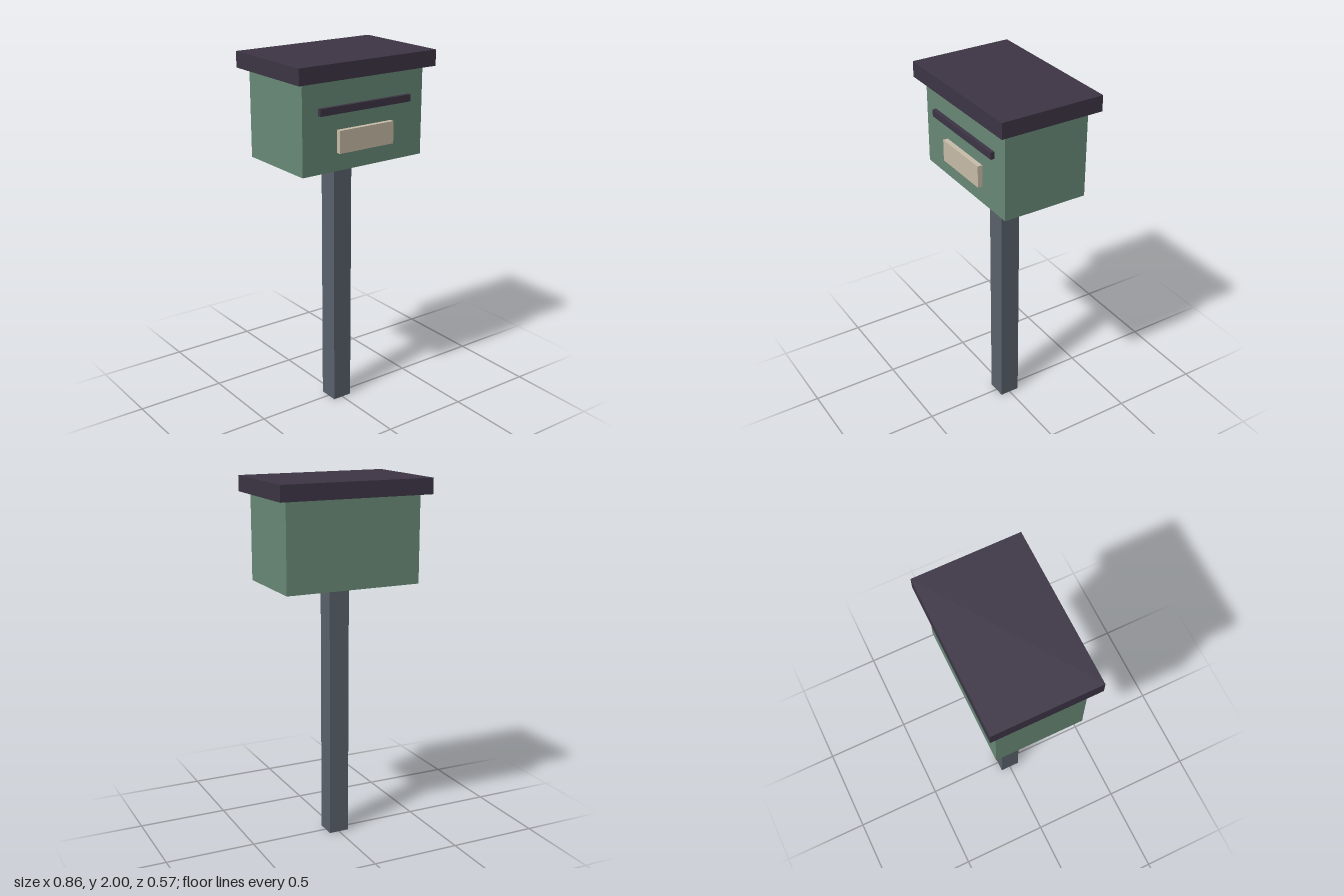
import * as THREE from 'three';

const paint = (name, color) => {
  const material = new THREE.MeshStandardMaterial({ color });
  material.name = name;
  return material;
};

export function createModel() {
  const group = new THREE.Group();
  group.name = 'mailbox';

  const green = paint('sage green', 0x698a78);
  const dark = paint('dark plum', 0x3d3545);
  const grey = paint('slate grey', 0x5a626c);
  const cream = paint('cream', 0xc9bda8);

  // Adds a box centred on x, spanning y0..y1 and z0..z1
  const addBox = (name, material, width, y0, y1, z0, z1) => {
    const mesh = new THREE.Mesh(new THREE.BoxGeometry(width, y1 - y0, z1 - z0), material);
    mesh.position.set(0, (y0 + y1) / 2, (z0 + z1) / 2);
    mesh.name = name;
    group.add(mesh);
  };

  // Square post, box body and overhanging lid
  addBox('post', grey, 0.114, 0, 1.44, -0.057, 0.057);
  addBox('body', green, 0.762, 1.44, 1.915, -0.238, 0.238);
  addBox('lid', dark, 0.858, 1.915, 2, -0.286, 0.286);

  // Raised letter slot and label plate on the front
  addBox('letterSlot', dark, 0.572, 1.741, 1.779, 0.23, 0.259);
  addBox('labelPlate', cream, 0.344, 1.536, 1.655, 0.23, 0.265);

  return group;
}
